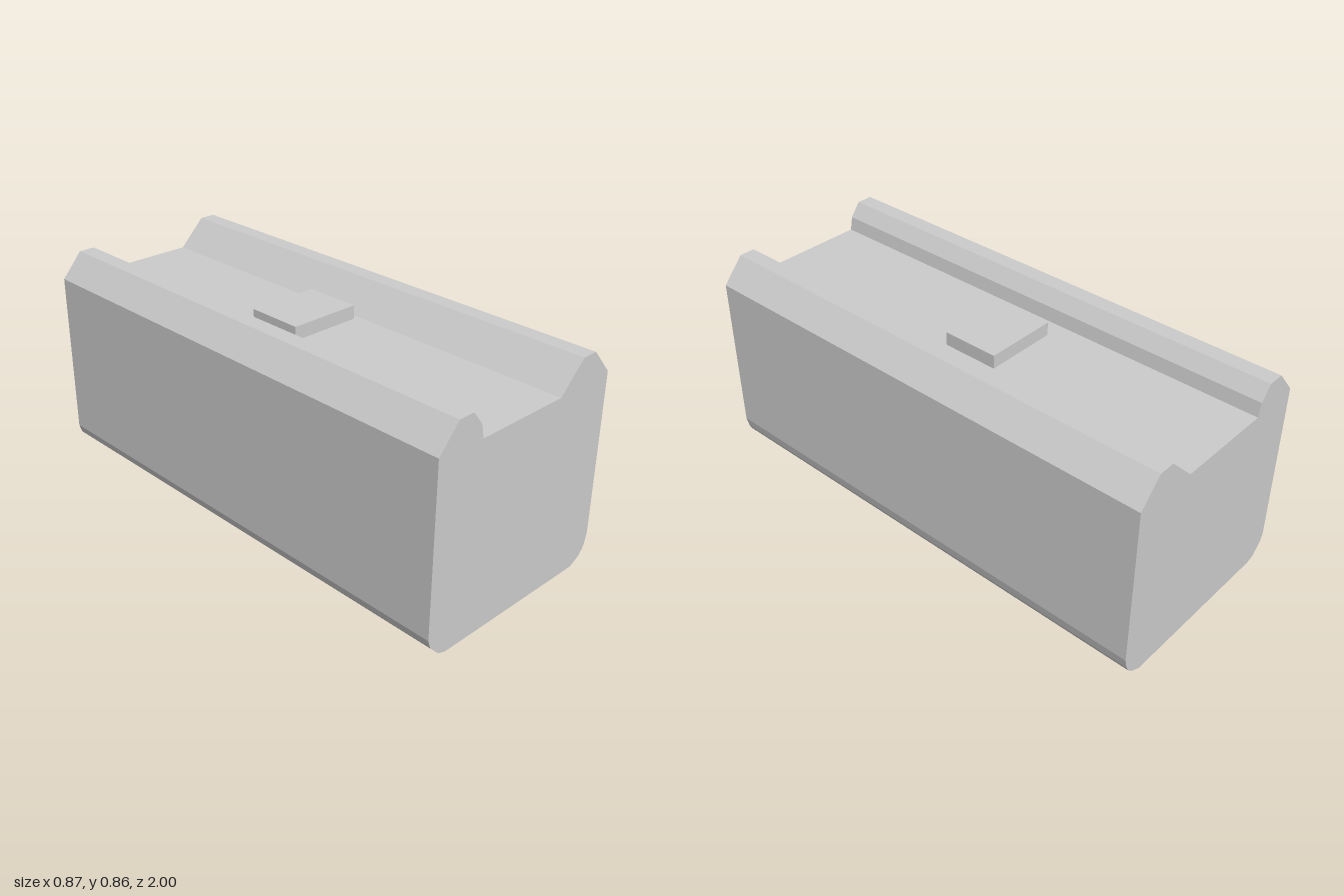
import * as THREE from 'three';

export function createModel() {
  const group = new THREE.Group();
  const material = new THREE.MeshStandardMaterial({ color: 0xcccccc, flatShading: true });

  // Long body: one cross-section with chamfered lower corners and two top rails
  const profile = [
    [-0.347, 0], [0.345, 0],
    [0.39, 0.022], [0.412, 0.045], [0.423, 0.067], [0.433, 0.11],
    [0.433, 0.76], [0.345, 0.858], [0.28, 0.858], [0.17, 0.749],
    [-0.227, 0.749], [-0.238, 0.803], [-0.281, 0.858], [-0.347, 0.858], [-0.433, 0.76],
    [-0.433, 0.09], [-0.422, 0.055], [-0.38, 0.012],
  ].map(([x, y]) => new THREE.Vector2(x, y));
  const bodyGeometry = new THREE.ExtrudeGeometry(new THREE.Shape(profile), {
    depth: 2, bevelEnabled: false,
  });
  bodyGeometry.translate(0, 0, -1);
  const body = new THREE.Mesh(bodyGeometry, material);
  body.name = 'body';
  group.add(body);

  // Small raised pad resting in the channel between the rails
  const pad = new THREE.Mesh(new THREE.BoxGeometry(0.296, 0.054, 0.23), material);
  pad.position.set(-0.001, 0.776, -0.04);
  pad.name = 'raisedPad';
  group.add(pad);

  return group;
}
